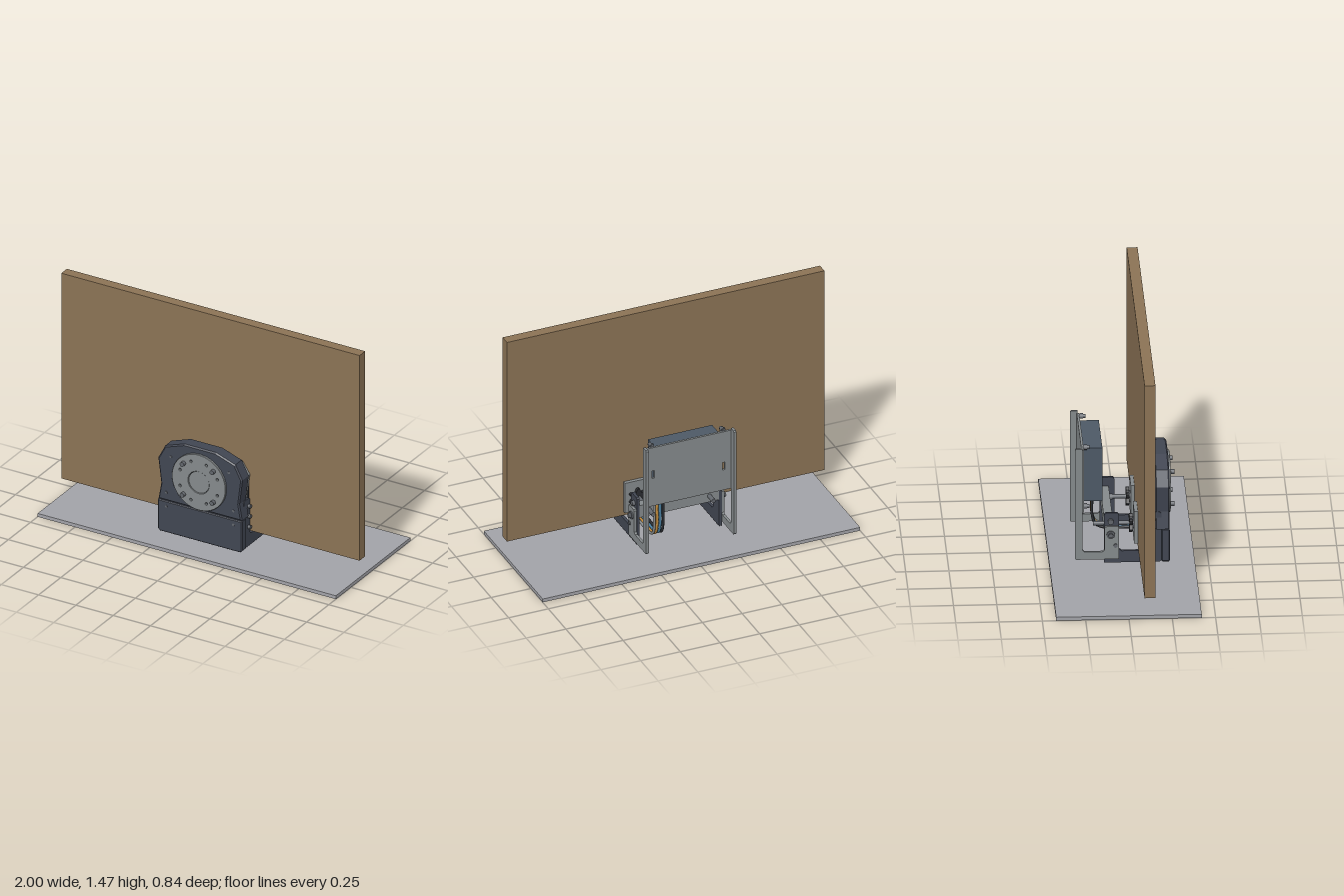
import * as THREE from 'three';

const mat = (color) => new THREE.MeshStandardMaterial({ color });

export function createModel() {
  const root = new THREE.Group();
  const wood = mat(0x8b7355), floor = mat(0xa2a3a8), dark = mat(0x414652), steel = mat(0x858a8c);
  const slate = mat(0x4d5966), bolt = mat(0x63676d), rubber = mat(0x2a2c30);
  const orange = mat(0xc08a3c), blue = mat(0x4a7fa0);

  function add(name, geometry, material) {
    const mesh = new THREE.Mesh(geometry, material);
    mesh.name = name;
    root.add(mesh);
    return mesh;
  }
  // Box given by its limits on each axis
  function box(name, material, x0, x1, y0, y1, z0, z1) {
    const m = add(name, new THREE.BoxGeometry(x1 - x0, y1 - y0, z1 - z0), material);
    m.position.set((x0 + x1) / 2, (y0 + y1) / 2, (z0 + z1) / 2);
    return m;
  }
  // Cylinder along z or x, from a to b on that axis
  function rodZ(name, material, x, y, r, a, b, sides = 24) {
    const g = new THREE.CylinderGeometry(r, r, b - a, sides).rotateX(Math.PI / 2);
    add(name, g, material).position.set(x, y, (a + b) / 2);
  }
  function rodX(name, material, y, z, r, a, b, sides = 20) {
    const g = new THREE.CylinderGeometry(r, r, Math.abs(b - a), sides).rotateZ(Math.PI / 2);
    add(name, g, material).position.set((a + b) / 2, y, z);
  }
  const shapeOf = (pts) => new THREE.Shape(pts.map((p) => new THREE.Vector2(p[0], p[1])));
  const mirrored = (half) => [...half, ...half.slice().reverse().map(([x, y]) => [-x, y])];
  const circle = (x, y, r) => new THREE.Path().absarc(x, y, r, 0, Math.PI * 2, true);
  // Extrude an x,y outline between two z values
  function slabZ(name, material, shape, z0, z1, bevel = 0) {
    const g = new THREE.ExtrudeGeometry(shape, {
      depth: z1 - z0 - 2 * bevel, bevelEnabled: bevel > 0, bevelSize: bevel,
      bevelThickness: bevel, bevelOffset: -bevel, bevelSegments: 1, curveSegments: 32,
    });
    add(name, g.translate(0, 0, z0 + bevel), material);
  }
  // Extrude a z,y outline between two x values
  function slabX(name, material, shape, x0, x1) {
    const g = new THREE.ExtrudeGeometry(shape, { depth: x1 - x0, bevelEnabled: false });
    add(name, g.rotateY(-Math.PI / 2).translate(x1, 0, 0), material);
  }

  // Ground plate and upright panel
  box('groundPlate', floor, -1, 1, 0, 0.022, -0.42, 0.42);
  box('panel', wood, -1, 1, 0.13, 1.465, 0.09, 0.153);

  // Front housing, its mounting plate and the lower cover
  const half = [[0.28, 0.247], [0.262, 0.35], [0.282, 0.51], [0.235, 0.6], [0.105, 0.645]];
  slabZ('housing', dark, shapeOf(mirrored(half)), 0.188, 0.273, 0.008);
  slabZ('mountingPlate', steel, shapeOf(mirrored(
    [[0.25, 0.16], [0.25, 0.36], [0.27, 0.5], [0.22, 0.575], [0.1, 0.618]])), 0.16, 0.19);
  slabZ('lowerCover', dark, shapeOf(mirrored(
    [[0.27, 0.04], [0.282, 0.052], [0.282, 0.243]])), 0.227, 0.273, 0.005);
  for (const s of [-1, 1]) {
    box('frontPad', rubber, s * 0.19 - 0.07, s * 0.19 + 0.07, 0.15, 0.49, 0.153, 0.161);
    for (const [x, y] of [[0.195, 0.54], [0.225, 0.3], [0.225, 0.21]])
      rodZ('coverScrew', bolt, s * x, y, 0.008, 0.265, 0.275, 16);
  }

  // Round output flange with hub, bolts and a ring of holes
  const disc = new THREE.Shape().absarc(0, 0.43, 0.18, 0, Math.PI * 2, false);
  disc.holes.push(circle(0, 0.43, 0.07));
  for (let i = 0; i < 8; i++) {
    const a = (i + 0.5) * Math.PI / 4;
    disc.holes.push(circle(0.135 * Math.cos(a), 0.43 + 0.135 * Math.sin(a), 0.007));
  }
  slabZ('outputFlange', steel, disc, 0.265, 0.286, 0.002);
  rodZ('hub', steel, 0, 0.43, 0.068, 0.26, 0.281, 40);
  for (const x of [-0.1, 0.1]) for (const y of [0.33, 0.53])
    rodZ('flangeBolt', bolt, x, y, 0.014, 0.28, 0.308);

  // Side brackets, mirrored
  const uShape = shapeOf([
    [0.227, 0.05], [0.227, 0.34], [0.217, 0.35], [0.17, 0.35], [0.16, 0.34], [0.16, 0.125],
    [0.145, 0.112], [-0.005, 0.112], [-0.02, 0.125], [-0.02, 0.34], [-0.03, 0.35],
    [-0.095, 0.35], [-0.105, 0.34], [-0.105, 0.04], [0.217, 0.04],
  ]);
  const rearShape = shapeOf([
    [-0.02, 0.068], [-0.02, 0.265], [-0.027, 0.272], [-0.095, 0.272], [-0.103, 0.265],
    [-0.103, 0.125], [-0.115, 0.115], [-0.22, 0.115], [-0.232, 0.127], [-0.232, 0.762],
    [-0.268, 0.762], [-0.275, 0.755], [-0.275, 0.075], [-0.268, 0.068],
  ]);
  for (const s of [-1, 1]) {
    const span = (a, b) => (s > 0 ? [a, b] : [-b, -a]);
    slabX('sideBracket', dark, uShape, ...span(0.25, 0.268));
    slabX('rearBracket', steel, rearShape, ...span(0.268, 0.284));
    for (const y of [0.3, 0.235, 0.165])
      rodX('sideScrew', bolt, y, 0.175, 0.012, s * 0.26, s * 0.284);
    rodX('clampBolt', bolt, 0.3, -0.068, 0.016, s * 0.26, s * 0.285);
    rodX('pivotWasher', bolt, 0.222, -0.068, 0.024, s * 0.28, s * 0.292);
    rodX('pivotBolt', bolt, 0.222, -0.068, 0.015, s * 0.28, s * 0.306, 6);
    rodX('clampBolt', bolt, 0.153, -0.04, 0.012, s * 0.28, s * 0.29);

    // Clamp pad with knob and threaded rod
    const x = s * 0.19;
    box('clampPad', steel, x - 0.076, x + 0.076, 0.155, 0.355, 0.068, 0.09);
    rodZ('clampRod', bolt, x, 0.255, 0.013, -0.165, 0.075);
    rodZ('clampSocket', bolt, x, 0.255, 0.035, 0.045, 0.07);
    const star = [];
    for (let i = 0; i < 48; i++) {
      const a = i * Math.PI / 24, r = 0.048 + 0.012 * Math.cos(a * 6);
      star.push([x + r * Math.sin(a), 0.255 - r * Math.cos(a)].map((v) => v));
    }
    slabZ('clampKnob', rubber, shapeOf(star), 0.043, 0.062);
    rodZ('clampNut', bolt, x, 0.255, 0.02, -0.053, -0.035, 6);

    // Screws holding the rear plate
    for (const y of [0.75, 0.38]) {
      rodZ('plateScrew', bolt, s * 0.225, y, 0.012, -0.225, -0.188);
      rodZ('plateNut', bolt, s * 0.225, y, 0.017, -0.222, -0.203, 6);
    }
  }
  box('crossbar', steel, -0.25, 0.25, 0.215, 0.295, -0.103, -0.053);

  // Rear plate with slots, carrying the control box
  const plate = shapeOf([[-0.27, 0.36], [0.27, 0.36], [0.27, 0.75], [-0.27, 0.75]]);
  for (const [x, y] of [[0.222, 0.57], [-0.222, 0.52]]) {
    plate.holes.push(new THREE.Path([[x - 0.008, y - 0.025], [x - 0.008, y + 0.025],
      [x + 0.008, y + 0.025], [x + 0.008, y - 0.025]].map((p) => new THREE.Vector2(...p))));
  }
  slabZ('rearPlate', steel, plate, -0.236, -0.222);
  box('controlBox', slate, -0.203, 0.2, 0.4, 0.733, -0.222, -0.112);

  // Cables from the control box down and under the panel to the housing
  [[0.125, rubber], [0.144, blue], [0.163, orange], [0.18, steel]].forEach(([x, m]) => {
    const path = new THREE.CatmullRomCurve3([
      [x, 0.42, -0.155], [x, 0.28, -0.155], [x, 0.16, -0.153], [x, 0.115, -0.135],
      [x, 0.092, -0.09], [x, 0.09, 0.05], [x, 0.092, 0.16], [x, 0.12, 0.198],
      [x, 0.18, 0.206], [x, 0.27, 0.206],
    ].map((p) => new THREE.Vector3(...p)));
    add('cable', new THREE.TubeGeometry(path, 60, 0.008, 10), m);
  });

  return root;
}
